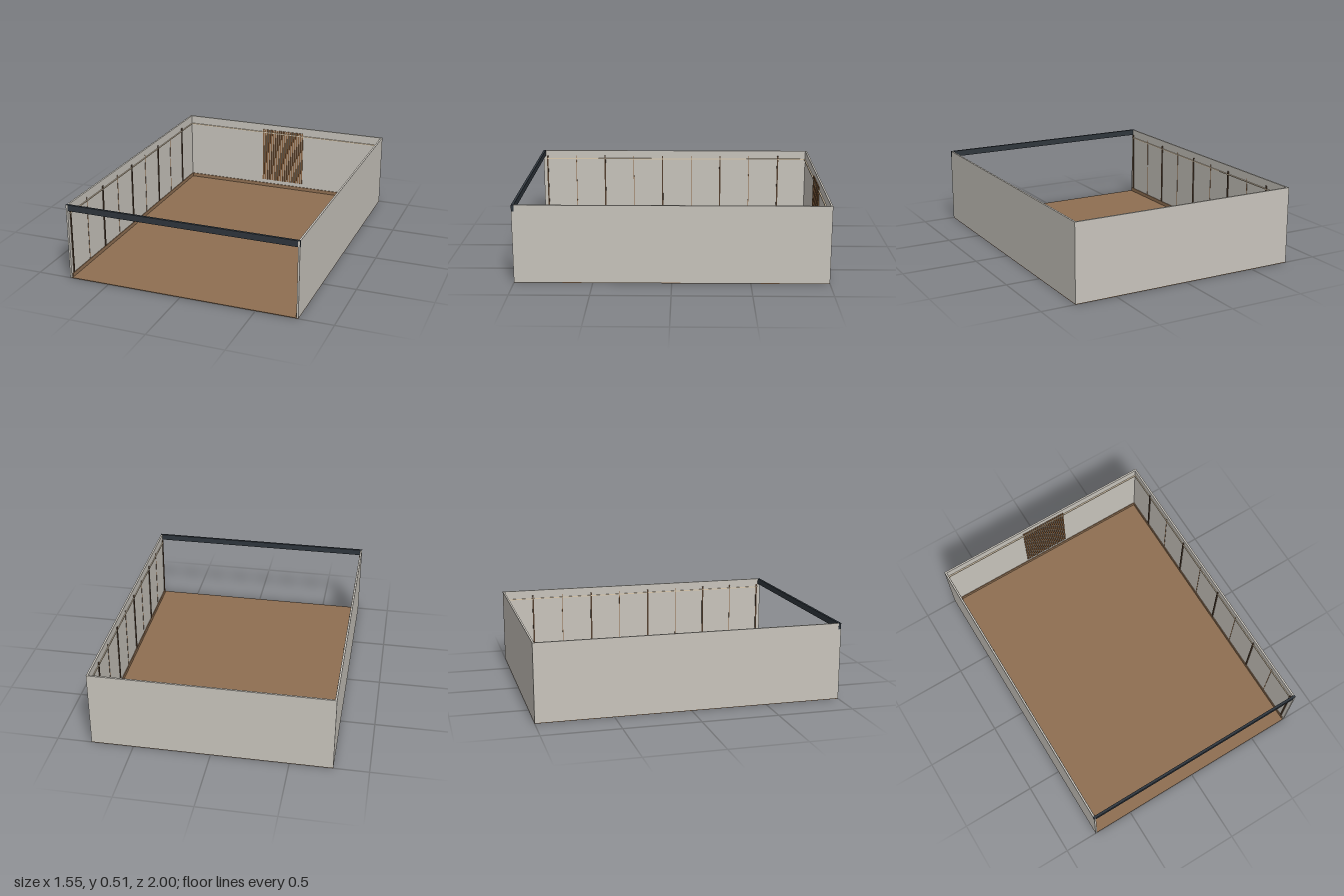
import * as THREE from 'three';

const mat = (color) => new THREE.MeshStandardMaterial({ color });

export function createModel() {
  const room = new THREE.Group();
  room.name = 'openRoom';

  const wall = mat(0xc8c4bc);
  const wood = mat(0x8f6f52);
  const slatWood = mat(0x8f6844);
  const darkWood = mat(0x54402f);
  const light = mat(0xdccbb0);
  const steel = mat(0x2f363d);

  // Box given by its lower and upper limits on each axis
  const box = (name, material, [x0, x1], [y0, y1], [z0, z1], parent = room) => {
    const mesh = new THREE.Mesh(new THREE.BoxGeometry(x1 - x0, y1 - y0, z1 - z0), material);
    mesh.position.set((x0 + x1) / 2, (y0 + y1) / 2, (z0 + z1) / 2);
    mesh.name = name;
    parent.add(mesh);
    return mesh;
  };

  const W = 0.775, H = 0.51, T = 0.012;
  const inX = W - T, inZ = -1 + T;

  // Floor and back wall
  box('floor', wood, [-W, W], [0, 0.004], [-1, 1]);
  box('backWall', wall, [-inX, inX], [0.004, H], [-1, inZ]);
  box('backBaseboard', wood, [-inX, inX], [0.004, 0.03], [inZ, inZ + 0.005]);
  box('backLightStrip', light, [-inX, inX], [0.444, 0.451], [inZ, inZ + 0.009]);

  // Side walls with baseboards, light strips, posts and panel joints
  for (const s of [-1, 1]) {
    const side = new THREE.Group();
    side.name = s > 0 ? 'leftSide' : 'rightSide';
    room.add(side);
    const span = (a, b) => (s > 0 ? [a, b] : [-b, -a]);
    box('sideWall', wall, span(inX, W), [0.004, H], [-1, 1], side);
    box('sideBaseboard', wood, span(inX - 0.005, inX), [0.004, 0.03], [inZ, 0.99], side);
    box('sideLightStrip', light, span(inX - 0.006, inX), [0.444, 0.451], [inZ, 0.98], side);
    for (let i = 0; i < 5; i++) {
      const z = 0.97 - i * 0.4375;
      box('panelPost', darkWood, span(inX - 0.006, inX), [0.03, 0.47], [z - 0.005, z + 0.005], side);
      if (i < 4) {
        const j = z - 0.219;
        box('panelJoint', slatWood, span(inX - 0.002, inX), [0.03, 0.47], [j - 0.002, j + 0.002], side);
      }
    }
  }

  // Slatted feature panel on the back wall
  const slats = new THREE.Group();
  slats.name = 'slatPanel';
  room.add(slats);
  const count = 21;
  for (let i = 0; i < count; i++) {
    const x = -0.156 + (i * 0.312) / (count - 1);
    box('slat', slatWood, [x - 0.005, x + 0.005], [0.06, 0.47], [inZ, inZ + 0.007], slats);
  }

  // Beam across the open front
  box('frontBeam', steel, [-W - 0.0005, W + 0.0005], [0.47, H + 0.0005], [0.983, 0.9995]);

  return room;
}
